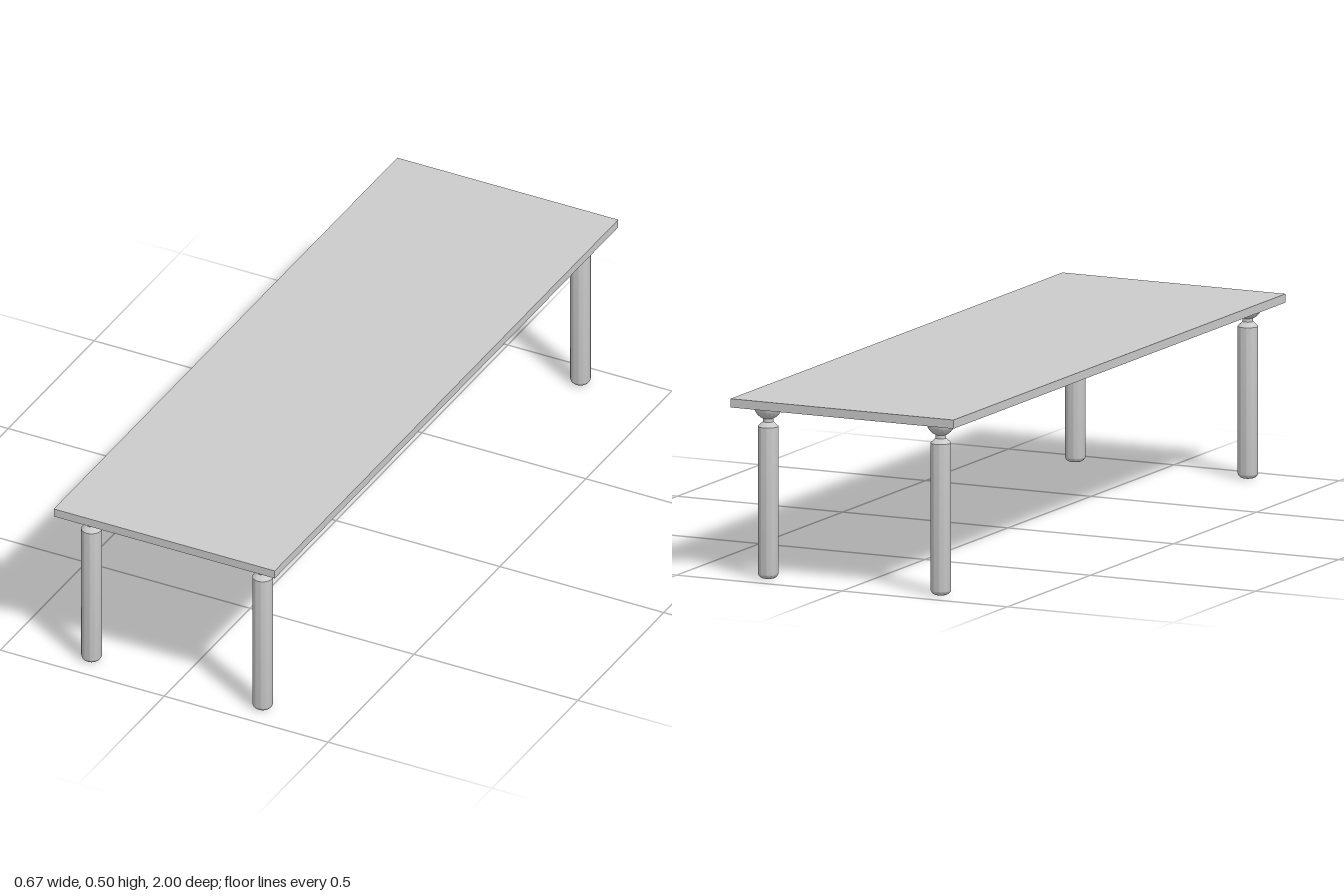
import * as THREE from 'three';
import { toCreasedNormals } from 'three/addons/utils/BufferGeometryUtils.js';

const material = new THREE.MeshStandardMaterial({ color: 0xcccccc });
const HEIGHT = 0.5, THICKNESS = 0.024, UNDERSIDE = HEIGHT - THICKNESS;
const LEG_X = 0.261, LEG_Z = 0.925;
const LEG_R = 0.028, NECK_R = 0.0145, BALL_R = 0.0385, FOOT_R = 0.016;

// Turned part from a list of [radius, height] points, bottom to top
function turned(name, points) {
  const profile = points.map(([r, y]) => new THREE.Vector2(r, y));
  const geometry = toCreasedNormals(new THREE.LatheGeometry(profile, 48), 0.5);
  const mesh = new THREE.Mesh(geometry, material);
  mesh.name = name;
  return mesh;
}

// Points along a circular arc, angles measured from +r towards +y
function arc(cx, cy, radius, from, to, steps) {
  return Array.from({ length: steps + 1 }, (_, i) => {
    const a = from + ((to - from) * i) / steps;
    return [cx + radius * Math.cos(a), cy + radius * Math.sin(a)];
  });
}

function createLeg() {
  const leg = new THREE.Group();
  leg.name = 'leg';

  // Post with rounded foot, bevelled shoulder and slim neck
  leg.add(turned('post', [
    [0, 0],
    ...arc(LEG_R - FOOT_R, FOOT_R, FOOT_R, -Math.PI / 2, 0, 8),
    [LEG_R, 0.418],
    [NECK_R, 0.431],
    [NECK_R, 0.442],
  ]));

  // Half ball fixed under the table top
  leg.add(turned('halfBall', [
    ...arc(0, UNDERSIDE, BALL_R, -Math.PI / 2, 0, 14),
    [0, UNDERSIDE],
  ]));
  return leg;
}

export function createModel() {
  const table = new THREE.Group();
  table.name = 'table';

  const top = new THREE.Mesh(new THREE.BoxGeometry(0.674, THICKNESS, 2), material);
  top.name = 'tableTop';
  top.position.y = HEIGHT - THICKNESS / 2;
  table.add(top);

  // Four legs, one near each corner
  for (const sx of [-1, 1]) {
    for (const sz of [-1, 1]) {
      const leg = createLeg();
      leg.name = (sz > 0 ? 'front' : 'back') + (sx > 0 ? 'Left' : 'Right') + 'Leg';
      leg.position.set(sx * LEG_X, 0, sz * LEG_Z);
      table.add(leg);
    }
  }
  return table;
}
